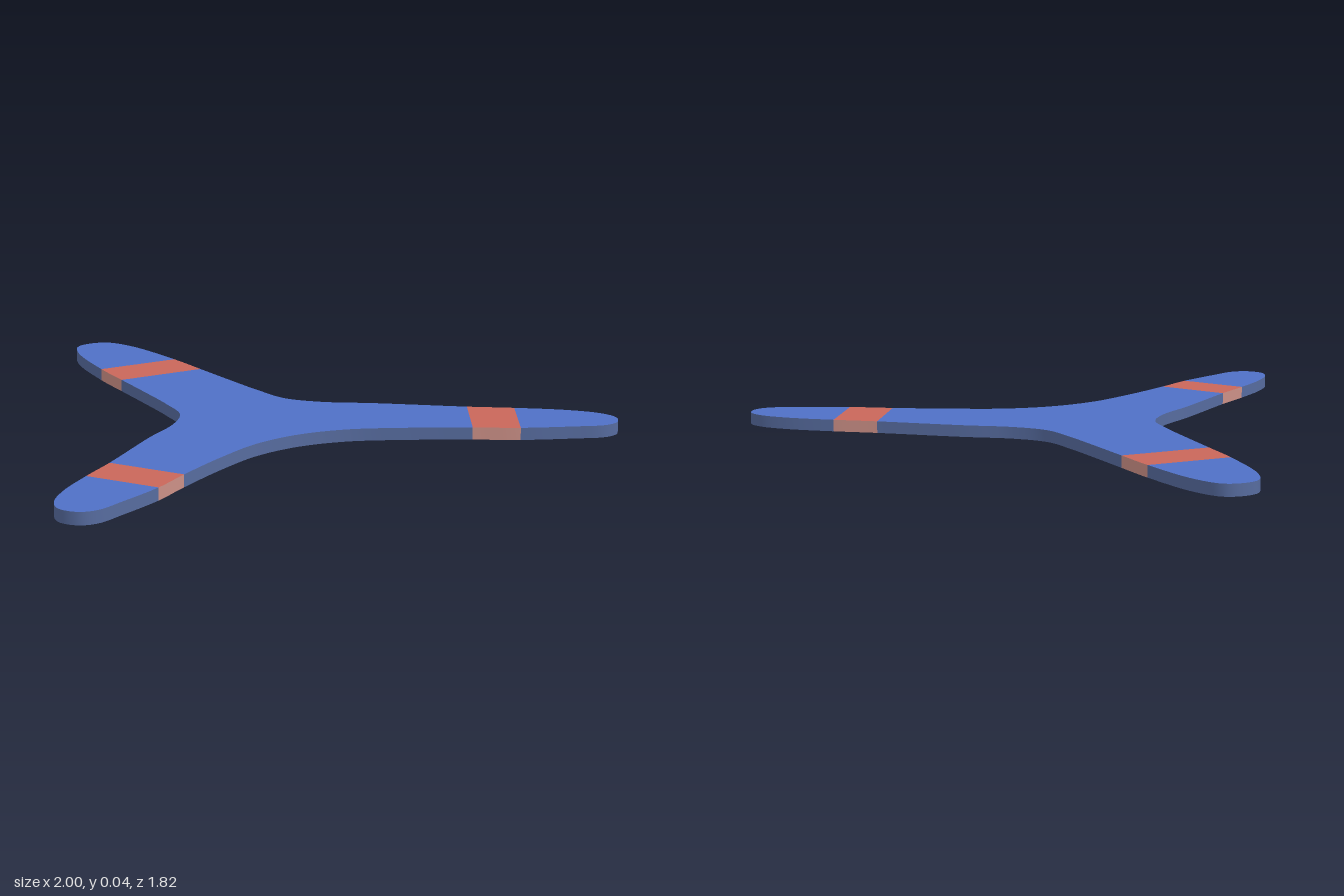
import * as THREE from 'three';
import { mergeGeometries } from 'three/addons/utils/BufferGeometryUtils.js';

const HEIGHT = 0.04;
const STEPS = 8; // samples between neighbouring control points

// Right half of the outline as [x, z], from the back tip round to the front notch
const half = [
  [0, -0.912], [0.06, -0.893], [0.107, -0.8], [0.145, -0.55], [0.155, -0.38],
  [0.165, -0.2], [0.178, -0.02], [0.2, 0.11], [0.28, 0.21], [0.42, 0.31],
  [0.66, 0.5], [0.785, 0.59], [0.915, 0.695], [0.985, 0.78], [1, 0.845],
  [0.965, 0.897], [0.91, 0.908], [0.81, 0.87], [0.655, 0.8], [0.525, 0.72],
  [0.325, 0.61], [0.165, 0.54], [0, 0.515],
];
const loop = [...half, ...half.slice(1, -1).reverse().map(([x, z]) => [-x, z])];
const curve = new THREE.CatmullRomCurve3(
  loop.map(([x, z]) => new THREE.Vector3(x, 0, z)), true, 'centripetal');

// Outline points between two control points
function run(from, to) {
  const points = [];
  for (let i = from * STEPS; i <= to * STEPS; i++) {
    points.push(curve.getPoint((i / (loop.length * STEPS)) % 1));
  }
  return points;
}

// Top and bottom faces of one section
function faces(points) {
  const flat = (sign) => new THREE.ShapeGeometry(
    new THREE.Shape(points.map((p) => new THREE.Vector2(p.x, sign * p.z))));
  const top = flat(-1).rotateX(-Math.PI / 2).translate(0, HEIGHT, 0);
  const bottom = flat(1).rotateX(Math.PI / 2);
  return mergeGeometries([top, bottom]);
}

// Upright edge strip along one run of the outline
function rim(points) {
  const position = [];
  const index = [];
  points.forEach((p, i) => {
    position.push(p.x, HEIGHT, p.z, p.x, 0, p.z);
    if (i) {
      const a = 2 * i - 2;
      index.push(a, a + 2, a + 1, a + 1, a + 2, a + 3);
    }
  });
  const geometry = new THREE.BufferGeometry();
  geometry.setAttribute('position', new THREE.Float32BufferAttribute(position, 3));
  geometry.setIndex(index);
  geometry.computeVertexNormals();
  return geometry;
}

function paint(name, color) {
  const material = new THREE.MeshStandardMaterial({ color });
  material.name = name;
  return material;
}

export function createModel() {
  const blue = [paint('blue', 0x4f70c6), paint('blueEdge', 0x566b9e)];
  const red = [paint('red', 0xc9675a), paint('redEdge', 0xcc9087)];

  // Each section: name, paints, and the outline runs that bound it
  const sections = [
    ['hub', blue, [[4, 10], [19, 25], [34, 40]]],
    ['backStripe', red, [[3, 4], [40, 41]]],
    ['backTip', blue, [[41, 47]]],
    ['leftStripe', red, [[10, 11], [18, 19]]],
    ['leftTip', blue, [[11, 18]]],
    ['rightStripe', red, [[25, 26], [33, 34]]],
    ['rightTip', blue, [[26, 33]]],
  ];

  const model = new THREE.Group();
  model.name = 'threeArmedBoomerang';
  for (const [name, [face, edge], spans] of sections) {
    const runs = spans.map(([from, to]) => run(from, to));
    const section = new THREE.Group();
    section.name = name;
    const plate = new THREE.Mesh(faces(runs.flat()), face);
    plate.name = name + 'Faces';
    const border = new THREE.Mesh(mergeGeometries(runs.map(rim)), edge);
    border.name = name + 'Edge';
    section.add(plate, border);
    model.add(section);
  }
  return model;
}
